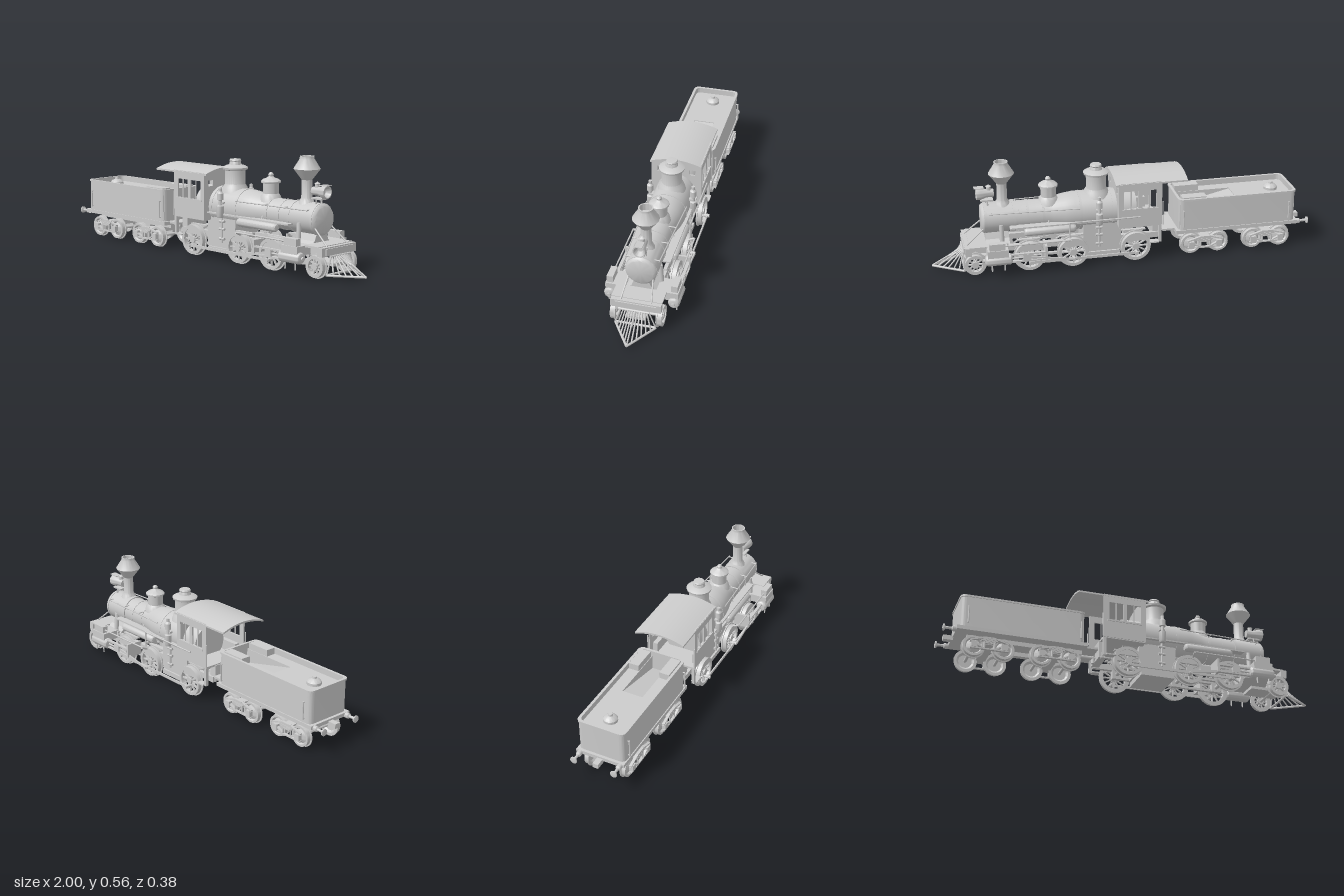
import * as THREE from 'three';
import { toCreasedNormals } from 'three/addons/utils/BufferGeometryUtils.js';

const grey = new THREE.MeshStandardMaterial({ color: 0xcccccc });
const thin = new THREE.MeshStandardMaterial({ color: 0xcccccc, side: THREE.DoubleSide });
const V = (x, y, z) => new THREE.Vector3(x, y, z);
const SIDES = [1, -1];

export function createModel() {
  const root = new THREE.Group();
  let target = root;
  const section = (name) => { target = new THREE.Group(); target.name = name; root.add(target); };
  const add = (name, geo, x = 0, y = 0, z = 0, mat = grey) => {
    const m = new THREE.Mesh(geo, mat);
    m.name = name;
    m.position.set(x, y, z);
    target.add(m);
    return m;
  };
  // Box given by its limits
  const box = (name, x0, x1, y0, y1, z0, z1) => add(name,
    new THREE.BoxGeometry(x1 - x0, y1 - y0, Math.abs(z1 - z0)), (x0 + x1) / 2, (y0 + y1) / 2, (z0 + z1) / 2);
  // Turned shape: [radius, height] pairs around the y, x or z axis
  const lathe = (name, pts, x, y, z, axis = 'y', seg = 28) => {
    let g = new THREE.LatheGeometry(pts.map(p => new THREE.Vector2(p[0], p[1])), seg);
    if (axis === 'x') g.rotateZ(-Math.PI / 2);
    if (axis === 'z') g.rotateX(Math.PI / 2);
    return add(name, toCreasedNormals(g, 0.6), x, y, z, thin);
  };
  const rod = (name, a, b, r = 0.004, seg = 8) => {
    const d = b.clone().sub(a);
    const m = add(name, new THREE.CylinderGeometry(r, r, d.length(), seg));
    m.position.copy(a).addScaledVector(d, 0.5);
    m.quaternion.setFromUnitVectors(V(0, 1, 0), d.normalize());
    return m;
  };
  // Flat bar between two points in a side plane
  const bar = (name, x0, y0, x1, y1, z, h, t) => {
    const m = add(name, new THREE.BoxGeometry(Math.hypot(x1 - x0, y1 - y0), h, t), (x0 + x1) / 2, (y0 + y1) / 2, z);
    m.rotation.z = Math.atan2(y1 - y0, x1 - x0);
    return m;
  };
  const poly = (pts) => new THREE.Shape(pts.map(p => new THREE.Vector2(p[0], p[1])));
  const rectHole = (x0, x1, y0, y1) => new THREE.Path([[x0, y0], [x0, y1], [x1, y1], [x1, y0]].map(p => new THREE.Vector2(...p)));
  const extrude = (shape, depth) => new THREE.ExtrudeGeometry(shape, { depth, bevelEnabled: false, curveSegments: 16 });
  // Cross-section in z and y, drawn out along x
  const alongX = (name, shape, x0, x1) => add(name, toCreasedNormals(extrude(shape, x1 - x0).rotateY(Math.PI / 2), 0.5), x0);

  // ---- Boiler ----
  section('boiler');
  const BY = 0.266;
  lathe('boilerBarrel', [[0, -0.06], [0.098, -0.06], [0.1, 0.05], [0.1, 0.26], [0.094, 0.31], [0.08, 0.37], [0.075, 0.4],
    [0.075, 0.57], [0.078, 0.57], [0.078, 0.725], [0.07, 0.735], [0.064, 0.738], [0, 0.741]], 0, BY, 0, 'x', 36);
  for (const [x, r] of [[0.06, 0.102], [0.23, 0.102], [0.42, 0.077], [0.5, 0.077], [0.57, 0.08], [0.715, 0.08]])
    lathe('boilerBand', [[r - 0.006, -0.006], [r, -0.006], [r, 0.006], [r - 0.006, 0.006]], x, BY, 0, 'x', 36);
  box('firebox', 0.02, 0.22, 0.06, 0.25, -0.085, 0.085);
  box('ashPan', 0.03, 0.21, 0.035, 0.06, -0.095, 0.095);
  alongX('smokeboxSaddle', poly([[-0.085, 0.14], [0.085, 0.14], [0.05, 0.165], [0.035, 0.2], [0.06, 0.235], [-0.06, 0.235], [-0.035, 0.2], [-0.05, 0.165]]), 0.6, 0.72);
  lathe('steamDome', [[0.072, 0.34], [0.062, 0.37], [0.052, 0.385], [0.052, 0.455], [0.064, 0.46], [0.066, 0.47], [0.052, 0.478],
    [0.032, 0.484], [0.028, 0.5], [0.031, 0.505], [0.027, 0.512], [0, 0.514]], 0.135, 0, 0);
  lathe('sandDome', [[0.058, 0.32], [0.05, 0.348], [0.04, 0.36], [0.04, 0.41], [0.05, 0.414], [0.05, 0.422], [0.038, 0.432],
    [0.02, 0.438], [0.012, 0.446], [0.014, 0.455], [0.008, 0.464], [0, 0.466]], 0.385, 0, 0);
  lathe('chimney', [[0.045, 0.325], [0.034, 0.35], [0.027, 0.362], [0.026, 0.45], [0.064, 0.5], [0.066, 0.503], [0.064, 0.507],
    [0.036, 0.552], [0.036, 0.565], [0.03, 0.565], [0.03, 0.53], [0, 0.53]], 0.623, 0, 0);
  // Headlamp on its bracket
  box('lampBracket', 0.67, 0.735, 0.362, 0.37, -0.022, 0.022);
  for (const s of SIDES) rod('lampStay', V(0.7, 0.325, s * 0.02), V(0.7, 0.365, s * 0.02));
  lathe('headlamp', [[0, -0.035], [0.02, -0.035], [0.022, 0.005], [0.031, 0.03], [0.031, 0.055], [0.026, 0.055], [0.014, 0.03], [0, 0.028]], 0.7, 0.4, 0, 'x');
  lathe('lampVent', [[0.012, 0], [0.012, 0.02], [0.015, 0.022], [0, 0.032]], 0.69, 0.415, 0);
  bar('lampVisor', 0.715, 0.431, 0.765, 0.434, 0, 0.004, 0.035);
  for (const s of SIDES) {
    rod('handrail', V(0.24, 0.315, s * 0.104), V(0.7, 0.315, s * 0.083), 0.003);
    for (const x of [0.42, 0.55, 0.69]) rod('handrailStud', V(x, 0.315, s * 0.05), V(x, 0.315, s * (0.115 - x * 0.044)), 0.003);
    rod('sandPipe', V(0.385, 0.345, s * 0.035), V(0.4, 0.22, s * 0.085), 0.004);
    rod('steamPipe', V(0.64, 0.25, s * 0.072), V(0.64, 0.14, s * 0.08), 0.012, 12);
    rod('smokeboxStay', V(0.725, 0.235, s * 0.06), V(0.82, 0.155, s * 0.075), 0.004);
    // Air pump and tank
    lathe('airPump', [[0, 0.22], [0.014, 0.22], [0.018, 0.228], [0.018, 0.28], [0.009, 0.285], [0.009, 0.31], [0.017, 0.313],
      [0.017, 0.345], [0.009, 0.355], [0.009, 0.372], [0, 0.374]], 0.14, 0, s * 0.113, 'y', 16);
    box('pumpBracket', 0.125, 0.155, 0.29, 0.3, s * 0.08, s * 0.113);
    rod('pumpPipe', V(0.14, 0.09, s * 0.1), V(0.14, 0.23, s * 0.1), 0.006);
    for (const y of [0.11, 0.16, 0.2]) rod('pipeValve', V(0.122, y, s * 0.1), V(0.158, y, s * 0.1), 0.007);
    lathe('airTank', [[0, -0.135], [0.015, -0.132], [0.021, -0.122], [0.021, 0.122], [0.015, 0.132], [0, 0.135]], 0.395, 0.213, s * 0.108, 'x', 18);
    box('runningBoard', 0.04, 0.6, 0.234, 0.241, s * 0.065, s * 0.112);
  }

  // ---- Cab ----
  section('cab');
  const wall = poly([[-0.185, 0.2], [0.042, 0.2], [0.042, 0.44], [-0.185, 0.44]]);
  wall.holes.push(rectHole(-0.155, -0.08, 0.3, 0.397), rectHole(-0.06, 0.015, 0.3, 0.397));
  for (const s of SIDES) {
    add('cabSide', extrude(wall, 0.008), 0, 0, s * 0.129 - 0.004);
    for (const x of [-0.118, -0.022]) box('windowMullion', x - 0.003, x + 0.003, 0.3, 0.397, s * 0.127, s * 0.131);
    box('windowSill', -0.165, 0.025, 0.29, 0.299, s * 0.129, s * 0.137);
    box('cabStep', -0.17, -0.12, 0.1, 0.107, s * 0.105, s * 0.14);
    box('stepHanger', -0.185, -0.17, 0.1, 0.2, s * 0.115, s * 0.13);
    rod('cabGrabRail', V(-0.19, 0.2, s * 0.134), V(-0.19, 0.33, s * 0.134), 0.003);
  }
  const front = new THREE.Shape().moveTo(-0.13, 0.2).lineTo(0.13, 0.2).lineTo(0.13, 0.435).quadraticCurveTo(0, 0.475, -0.13, 0.435);
  front.holes.push(rectHole(-0.1, -0.07, 0.37, 0.4), rectHole(0.07, 0.1, 0.37, 0.4));
  alongX('cabFront', front, 0.034, 0.042);
  const roof = new THREE.Shape().moveTo(-0.135, 0.428).quadraticCurveTo(0, 0.478, 0.135, 0.428).lineTo(0.135, 0.437)
    .quadraticCurveTo(0, 0.488, -0.135, 0.437);
  alongX('cabRoof', roof, -0.32, 0.058);
  box('cabFloor', -0.185, 0.04, 0.195, 0.205, -0.13, 0.13);
  box('dragBox', -0.19, -0.15, 0.11, 0.2, -0.07, 0.07);
  for (const s of SIDES) box('cabSeat', -0.15, 0.02, 0.205, 0.26, s * 0.1, s * 0.127);

  // ---- Running gear ----
  section('runningGear');
  const spokedWheel = (x, y, r, z, s, spokes) => {
    const t = 0.013;
    lathe('wheelRim', [[r - 0.016, -t], [r, -t], [r, t], [r - 0.016, t], [r - 0.016, -t]], x, y, z, 'z', 36);
    lathe('wheelFlange', [[r - 0.01, -0.004], [r + 0.007, -0.003], [r + 0.007, 0.003], [r - 0.01, 0.004]], x, y, z - s * 0.012, 'z', 36);
    lathe('wheelHub', [[0, -t], [0.018, -t], [0.018, t], [0, t]], x, y, z, 'z', 16);
    for (let i = 0; i < spokes; i++) {
      const a = i / spokes * Math.PI * 2;
      bar('spoke', x + Math.cos(a) * 0.012, y + Math.sin(a) * 0.012, x + Math.cos(a) * (r - 0.012), y + Math.sin(a) * (r - 0.012), z, 0.006, 0.01);
    }
  };
  const drivers = [-0.05, 0.28, 0.505], DY = 0.085, PIN = 0.058;
  for (const x of drivers) {
    rod('driverAxle', V(x, DY, -0.11), V(x, DY, 0.11), 0.01, 12);
    for (const s of SIDES) {
      spokedWheel(x, DY, 0.077, s * 0.118, s, 12);
      const weight = new THREE.Shape().absarc(0, 0, 0.064, 0.5, Math.PI - 0.5, false);
      add('counterweight', extrude(weight, 0.014), x, DY, s * 0.12 - 0.007);
      rod('crankPin', V(x, PIN, s * 0.12), V(x, PIN, s * 0.158), 0.009, 12);
    }
  }
  rod('ponyAxle', V(0.785, 0.062, -0.11), V(0.785, 0.062, 0.11), 0.008, 12);
  box('ponyTruck', 0.66, 0.84, 0.06, 0.075, -0.05, 0.05);
  for (const s of SIDES) {
    spokedWheel(0.785, 0.062, 0.053, s * 0.115, s, 10);
    box('mainFrame', -0.18, 0.8, 0.105, 0.135, s * 0.06, s * 0.08);
    box('lowerFrame', -0.07, 0.53, 0.06, 0.072, s * 0.062, s * 0.078);
    for (const x of drivers) {
      box('axleBox', x - 0.025, x + 0.025, 0.06, 0.11, s * 0.058, s * 0.082);
      for (let i = 0; i < 3; i++) box('leafSpring', x - 0.06 + i * 0.015, x + 0.06 - i * 0.015, 0.155 - i * 0.007, 0.162 - i * 0.007, s * 0.066, s * 0.084);
      rod('springHanger', V(x, 0.1, s * 0.075), V(x, 0.16, s * 0.075), 0.006);
    }
    // Side rod, main rod and crosshead
    bar('sideRod', -0.06, PIN, 0.515, PIN, s * 0.146, 0.014, 0.007);
    bar('mainRod', 0.28, PIN, 0.53, 0.098, s * 0.158, 0.013, 0.007);
    box('crosshead', 0.505, 0.545, 0.083, 0.115, s * 0.15, s * 0.17);
    rod('pistonRod', V(0.53, 0.098, s * 0.16), V(0.63, 0.098, s * 0.16), 0.005);
    for (const y of [0.08, 0.118]) box('slideBar', 0.42, 0.62, y - 0.004, y + 0.004, s * 0.152, s * 0.168);
    box('slideBarBracket', 0.42, 0.432, 0.075, 0.15, s * 0.075, s * 0.168);
    // Cylinder with valve chest
    lathe('cylinder', [[0, -0.07], [0.022, -0.068], [0.029, -0.06], [0.029, 0.055], [0.024, 0.064], [0.01, 0.07], [0.01, 0.078], [0, 0.078]], 0.67, 0.098, s * 0.16, 'x');
    box('cylinderBlock', 0.62, 0.725, 0.11, 0.155, s * 0.08, s * 0.182);
    box('valveChest', 0.635, 0.715, 0.155, 0.19, s * 0.145, s * 0.177);
    rod('valveRod', V(0.3, 0.17, s * 0.161), V(0.635, 0.17, s * 0.161), 0.004);
    for (const x of [0.64, 0.705]) rod('drainCock', V(x, 0.04, s * 0.17), V(x, 0.08, s * 0.17), 0.004);
    rod('rockerArm', V(0.3, 0.13, s * 0.07), V(0.3, 0.17, s * 0.161), 0.006);
  }
  box('cylinderCrossBlock', 0.61, 0.72, 0.1, 0.15, -0.09, 0.09);
  rod('reachRod', V(-0.07, 0.255, -0.138), V(0.3, 0.255, -0.138));
  rod('reverseArm', V(0.3, 0.255, -0.138), V(0.3, 0.172, -0.138));

  // ---- Front beam and cowcatcher ----
  section('cowcatcher');
  box('bufferBeam', 0.8, 0.832, 0.112, 0.155, -0.125, 0.125);
  box('beamPlate', 0.832, 0.838, 0.118, 0.149, -0.102, 0.102);
  box('frontDeck', 0.72, 0.81, 0.148, 0.158, -0.125, 0.125);
  box('deckBlock', 0.73, 0.78, 0.115, 0.15, -0.09, 0.09);
  rod('topRail', V(0.838, 0.11, -0.072), V(0.838, 0.11, 0.072), 0.006);
  rod('rearRail', V(0.838, 0.025, -0.1), V(0.838, 0.025, 0.1), 0.006);
  for (const s of SIDES) rod('bottomRail', V(0.84, 0.024, s * 0.1), V(0.995, 0.024, 0), 0.006);
  for (let i = -6; i <= 6; i++) {
    const u = i / 6;
    rod('slat', V(0.84, 0.11, u * 0.07), V(0.995 - Math.abs(u) * 0.155, 0.026, u * 0.1), 0.004, 6);
  }
  rod('drawBar', V(0.835, 0.1, 0), V(0.91, 0.07, 0), 0.006);

  // ---- Tender ----
  section('tender');
  const plan = (x0, x1, w, r) => new THREE.Shape().moveTo(x0 + r, -w).lineTo(x1 - r, -w).quadraticCurveTo(x1, -w, x1, -w + r)
    .lineTo(x1, w - r).quadraticCurveTo(x1, w, x1 - r, w).lineTo(x0 + r, w).quadraticCurveTo(x0, w, x0, w - r)
    .lineTo(x0, -w + r).quadraticCurveTo(x0, -w, x0 + r, -w);
  const slab = (name, shape, y0, y1) => add(name, toCreasedNormals(extrude(shape, y1 - y0).rotateX(-Math.PI / 2), 0.6), 0, y0);
  const shell = plan(-0.915, -0.28, 0.125, 0.03);
  shell.holes.push(plan(-0.905, -0.29, 0.115, 0.025));
  slab('tenderWalls', shell, 0.15, 0.315);
  const lip = plan(-0.919, -0.276, 0.129, 0.032);
  lip.holes.push(plan(-0.905, -0.29, 0.115, 0.025));
  slab('tenderRim', lip, 0.312, 0.322);
  // Tank deck with a fuel well open towards the cab
  const deck = poly([[-0.905, -0.118], [-0.285, -0.118], [-0.285, -0.055], [-0.6, -0.055], [-0.6, 0.055], [-0.285, 0.055], [-0.285, 0.118], [-0.905, 0.118]]);
  slab('tankDeck', deck, 0.16, 0.292);
  add('fuelSlope', extrude(poly([[-0.6, 0.16], [-0.285, 0.16], [-0.285, 0.215], [-0.6, 0.288]]), 0.11), 0, 0, -0.055);
  for (const s of SIDES) box('toolBox', -0.43, -0.3, 0.29, 0.326, s * 0.058, s * 0.112);
  lathe('fillerHatch', [[0.036, 0.29], [0.036, 0.305], [0.028, 0.315], [0.012, 0.322], [0.01, 0.332], [0, 0.334]], -0.815, 0, 0);
  box('tenderFrame', -0.93, -0.265, 0.132, 0.151, -0.13, 0.13);
  box('tenderPlatform', -0.27, -0.2, 0.14, 0.151, -0.09, 0.09);
  rod('couplingBar', V(-0.28, 0.13, 0), V(-0.15, 0.13, 0), 0.01);
  rod('couplingPin', V(-0.2, 0.1, 0), V(-0.2, 0.17, 0), 0.01);
  box('rearCoupler', -0.975, -0.925, 0.118, 0.142, -0.015, 0.015);
  for (const s of SIDES) {
    lathe('buffer', [[0, -0.07], [0.018, -0.066], [0.018, -0.06], [0.007, -0.055], [0.007, -0.025], [0.014, -0.02], [0.014, 0]], -0.928, 0.137, s * 0.108, 'x', 16);
    for (const x of [-0.877, -0.303]) {
      rod('tenderGrabRail', V(x, 0.17, s * 0.134), V(x, 0.262, s * 0.134));
      for (const y of [0.173, 0.259]) rod('railStud', V(x, y, s * 0.12), V(x, y, s * 0.134), 0.003);
    }
    box('tenderSill', -0.87, -0.28, 0.11, 0.133, s * 0.055, s * 0.07);
  }
  // Two four-wheel trucks
  for (const c of [-0.765, -0.425]) {
    box('truckBolster', c - 0.025, c + 0.025, 0.07, 0.1, -0.12, 0.12);
    rod('truckPivot', V(c, 0.08, 0), V(c, 0.14, 0), 0.025, 16);
    for (const x of [c - 0.075, c + 0.075]) rod('truckAxle', V(x, 0.062, -0.125), V(x, 0.062, 0.125), 0.008, 10);
    for (const s of SIDES) {
      for (const e of SIDES) {
        const x = c + e * 0.075;
        lathe('truckWheel', [[0, 0.004], [0.016, 0.012], [0.036, 0.002], [0.042, 0.012], [0.053, 0.012], [0.053, -0.008], [0.059, -0.009],
          [0.059, -0.014], [0.044, -0.014], [0.034, -0.004], [0, -0.004]].map(([r, h]) => [r, h * s]), x, 0.061, s * 0.1, 'z', 32);
        box('journalBox', x - 0.015, x + 0.015, 0.047, 0.078, s * 0.114, s * 0.134);
        bar('archBarTop', x + e * 0.02, 0.083, c + e * 0.025, 0.103, s * 0.124, 0.007, 0.014);
        bar('archBarBottom', x + e * 0.02, 0.08, c + e * 0.025, 0.045, s * 0.124, 0.007, 0.014);
        rod('bolsterPost', V(c + e * 0.025, 0.045, s * 0.124), V(c + e * 0.025, 0.105, s * 0.124), 0.005);
      }
      box('archBarCentre', c - 0.028, c + 0.028, 0.1, 0.107, s * 0.117, s * 0.131);
      box('tieBar', c - 0.095, c + 0.095, 0.04, 0.047, s * 0.117, s * 0.131);
      for (let i = 0; i < 4; i++) box('truckSpring', c - 0.05 + i * 0.01, c + 0.05 - i * 0.01, 0.094 - i * 0.007, 0.1 - i * 0.007, s * 0.112, s * 0.13);
    }
  }
  return root;
}
